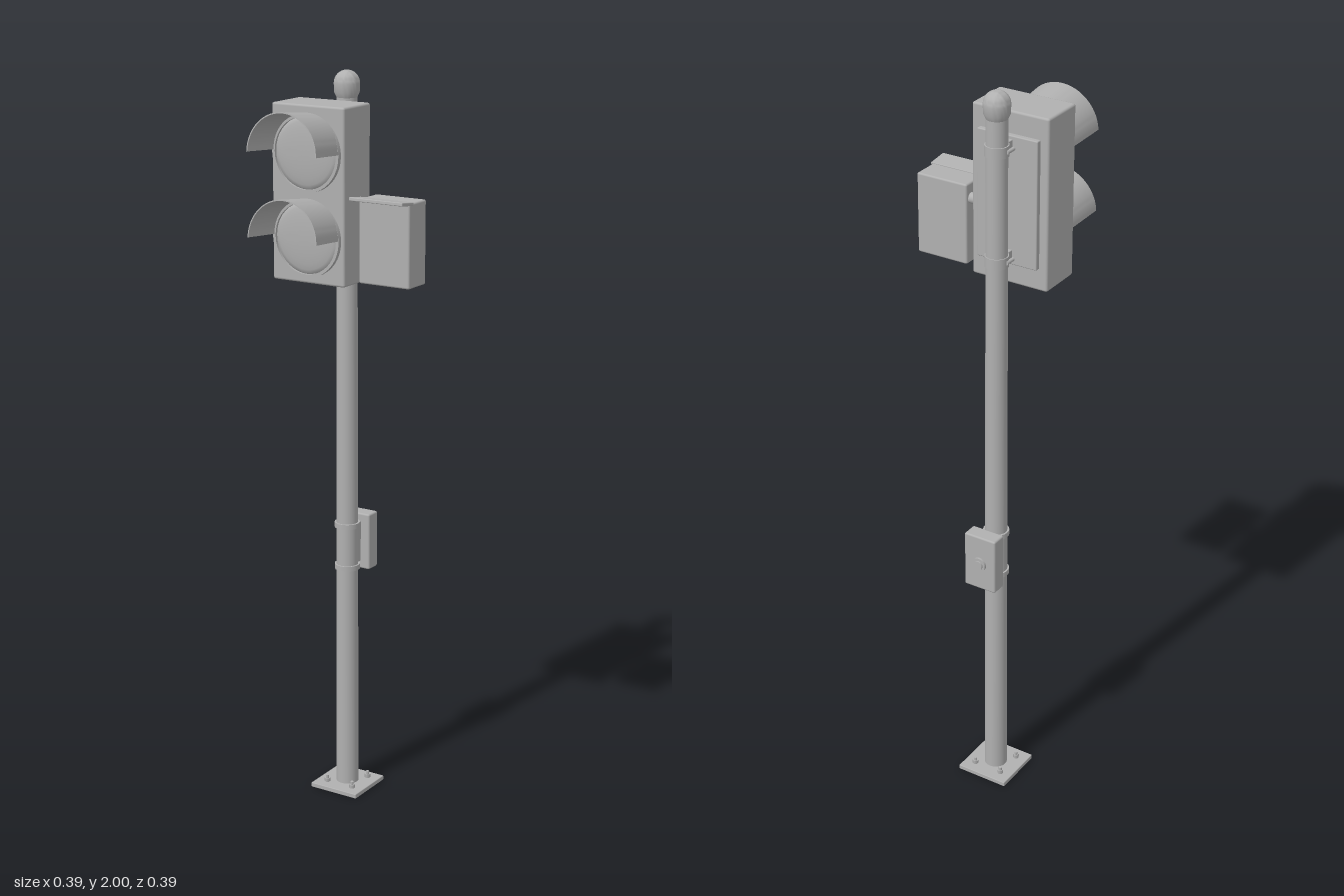
import * as THREE from 'three';
import { toCreasedNormals } from 'three/addons/utils/BufferGeometryUtils.js';
import { RoundedBoxGeometry } from 'three/addons/geometries/RoundedBoxGeometry.js';

const PX = -0.089, PZ = -0.106; // pole axis

export function createModel() {
  const root = new THREE.Group();
  root.name = 'pedestrianSignal';
  const grey = new THREE.MeshStandardMaterial({ color: 0xb0b0b0, side: THREE.DoubleSide });
  grey.name = 'grey metal';

  const add = (name, geo, x = 0, y = 0, z = 0) => {
    const m = new THREE.Mesh(geo, grey);
    m.name = name;
    m.position.set(x, y, z);
    root.add(m);
    return m;
  };
  // Rounded box given by its limits
  const box = (name, x0, x1, y0, y1, z0, z1, r = 0.004) => add(name,
    new RoundedBoxGeometry(x1 - x0, y1 - y0, z1 - z0, 2, r),
    (x0 + x1) / 2, (y0 + y1) / 2, (z0 + z1) / 2);
  const lathe = (pts, segs = 40, start = 0, length = Math.PI * 2) => toCreasedNormals(
    new THREE.LatheGeometry(pts.map(p => new THREE.Vector2(...p)), segs, start, length), 0.6);
  const cyl = (r, h, segs = 24) => new THREE.CylinderGeometry(r, r, h, segs);

  // Base plate with four anchor bolts
  box('basePlate', PX - 0.074, PX + 0.074, 0, 0.013, PZ - 0.074, PZ + 0.074, 0.002);
  for (const sx of [-1, 1]) for (const sz of [-1, 1]) {
    const x = PX + sx * 0.041, z = PZ + sz * 0.041;
    add('anchorNut', cyl(0.008, 0.01, 6), x, 0.018, z);
    add('anchorBolt', cyl(0.0045, 0.02, 12), x, 0.022, z);
  }

  // Tapered pole and domed cap
  add('pole', new THREE.CylinderGeometry(0.027, 0.031, 1.93, 40), PX, 0.975, PZ);
  const cap = [[0.027, 1.93], [0.033, 1.943], [0.034, 1.966]];
  for (let i = 1; i <= 8; i++) {
    const a = i / 8 * Math.PI / 2;
    cap.push([0.034 * Math.cos(a), 1.966 + 0.034 * Math.sin(a)]);
  }
  add('poleCap', lathe(cap), PX, 0, PZ);

  // Signal housing with rear mounting panel
  box('signalHousing', -0.198, 0.02, 1.475, 1.93, -0.047, 0.078, 0.006);
  box('rearPanel', -0.175, -0.003, 1.534, 1.873, -0.061, -0.045, 0.003);

  // Two lenses, each with a ring and a flared half-round visor
  for (const y of [1.81, 1.593]) {
    const ring = lathe([[0.1, 0], [0.1, 0.014], [0.092, 0.014], [0.092, 0.006]]);
    add('lensRing', ring.rotateX(Math.PI / 2), PX, y, 0.076);
    const dome = [[0.093, 0.006]];
    for (let i = 1; i <= 6; i++) {
      const a = i / 6 * Math.PI / 2;
      dome.push([0.093 * Math.cos(a), 0.006 + 0.012 * Math.sin(a)]);
    }
    add('lens', lathe(dome).rotateX(Math.PI / 2), PX, y, 0.076);
    const shell = lathe([[0.098, 0], [0.104, 0.121], [0.101, 0.121], [0.095, 0], [0.098, 0]],
      40, Math.PI / 2, Math.PI);
    add('visor', shell.rotateX(Math.PI / 2), PX, y + 0.002, 0.077).rotation.x = -0.07;
  }

  // Brackets clamping the housing to the pole
  for (const y of [1.85, 1.56]) {
    box('bracketArm', PX - 0.016, PX + 0.016, y - 0.014, y + 0.014, PZ, -0.058, 0.002);
    add('bracketBand', cyl(0.0305, 0.028, 40), PX, y, PZ);
    for (const s of [-1, 1])
      add('bracketBolt', cyl(0.005, 0.03, 12).rotateX(Math.PI / 2), PX + s * 0.03, y, PZ + 0.012);
  }

  // Side box on a short arm, with a sloping hood
  add('sideArm', cyl(0.014, 0.05).rotateZ(Math.PI / 2), 0.034, 1.661, -0.014);
  box('sideBox', 0.045, 0.193, 1.485, 1.702, -0.035, 0.048, 0.005);
  box('sideHood', 0.041, 0.197, 1.699, 1.708, 0.034, 0.09, 0.002).rotation.x = -0.12;

  // Push button unit on the back of the pole
  box('buttonBox', PX - 0.047, PX + 0.047, 0.638, 0.797, -0.187, -0.143, 0.005);
  box('buttonMount', PX - 0.02, PX + 0.02, 0.66, 0.775, -0.146, PZ - 0.02, 0.002);
  add('buttonRing', cyl(0.02, 0.008, 32).rotateX(Math.PI / 2), PX, 0.715, -0.189);
  add('button', cyl(0.013, 0.008, 32).rotateX(Math.PI / 2), PX, 0.715, -0.193);
  for (const y of [0.774, 0.654])
    add('buttonBand', cyl(0.0345, 0.014, 40), PX, y, PZ);

  return root;
}
